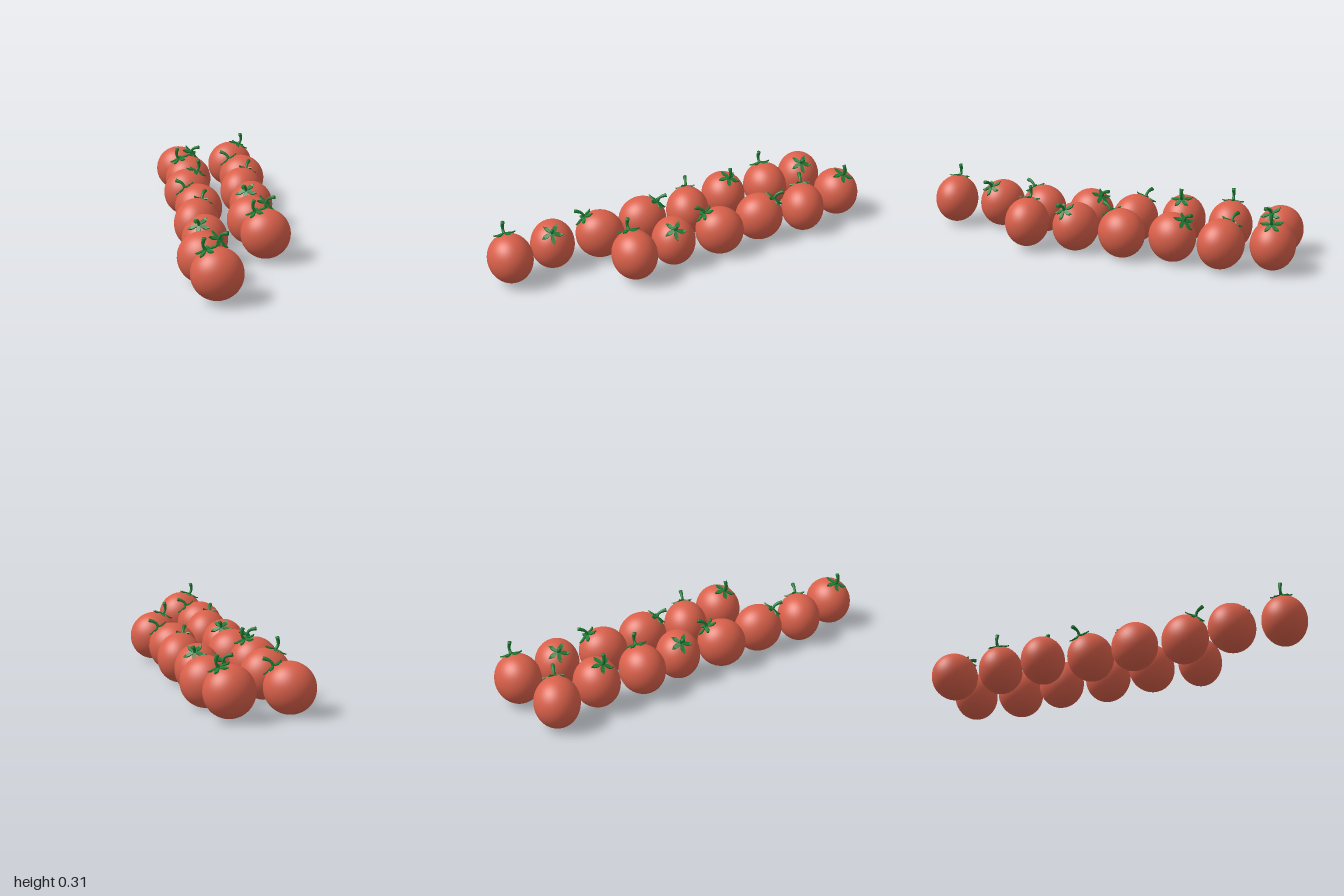
import * as THREE from 'three';

const red = new THREE.MeshStandardMaterial({ color: 0xd9604a });
red.name = 'tomato red';
const green = new THREE.MeshStandardMaterial({ color: 0x1e7a34 });
green.name = 'leaf green';

// Slightly narrow round fruit body
function bodyGeometry() {
  return new THREE.SphereGeometry(1, 40, 28).scale(0.122, 0.123, 0.11);
}

// Five pointed leaves, bent to lie over the top of the fruit
function calyxGeometry() {
  const shape = new THREE.Shape();
  const outline = [[0.011, -0.63], [0.029, -0.4], [0.042, -0.22], [0.057, 0.04], [0.042, 0.2], [0.029, 0.36]];
  for (let i = 0; i < 5; i++) {
    outline.forEach(([r, a], j) => {
      const t = a + i * Math.PI * 2 / 5 + 0.15;
      const x = r * Math.cos(t), y = r * Math.sin(t);
      if (i + j === 0) shape.moveTo(x, y); else shape.lineTo(x, y);
    });
  }
  shape.closePath();
  const geo = new THREE.ExtrudeGeometry(shape, { depth: 0.006, bevelEnabled: false });
  geo.rotateX(-Math.PI / 2);
  const p = geo.attributes.position;
  for (let i = 0; i < p.count; i++) {
    const r = Math.hypot(p.getX(i), p.getZ(i));
    // follow the fruit, with the tips curling up
    const drop = r < 0.042 ? r * r * 3.2 : 0.0056 - (r - 0.042) * 0.12;
    p.setY(i, p.getY(i) + 0.121 - drop);
  }
  geo.computeVertexNormals();
  return geo;
}

// Bent stalk, widening toward its cut end
function stemGeometry() {
  const path = new THREE.CatmullRomCurve3([
    [0, 0.118], [-0.006, 0.143], [0, 0.162], [0.014, 0.18],
  ].map(([x, y]) => new THREE.Vector3(x, y, 0)));
  const rows = 10, sides = 10, pos = [], index = [];
  for (let i = 0; i <= rows; i++) {
    const t = i / rows, c = path.getPointAt(t), d = path.getTangentAt(t);
    const r = 0.0065 + 0.003 * Math.abs(2 * t - 0.8);
    for (let j = 0; j < sides; j++) {
      const a = j / sides * Math.PI * 2, u = r * Math.cos(a);
      pos.push(c.x + d.y * u, c.y - d.x * u, r * Math.sin(a));
      if (i < rows) {
        const k = i * sides + j, n = i * sides + (j + 1) % sides;
        index.push(k, k + sides, n, n, k + sides, n + sides);
      }
    }
  }
  // cap on the cut end
  const end = path.getPointAt(1), last = rows * sides;
  pos.push(end.x, end.y, 0);
  for (let j = 0; j < sides; j++) index.push(last + sides, last + (j + 1) % sides, last + j);
  const geo = new THREE.BufferGeometry();
  geo.setAttribute('position', new THREE.Float32BufferAttribute(pos, 3));
  geo.setIndex(index);
  geo.computeVertexNormals();
  return geo;
}

export function createModel() {
  const model = new THREE.Group();
  model.name = 'tomatoRows';
  const parts = [
    ['body', bodyGeometry(), red],
    ['calyx', calyxGeometry(), green],
    ['stem', stemGeometry(), green],
  ];

  // Each fruit: x, z, leans far over (1) or slightly (0), quarter turns
  const fruits = [
    [-0.135, -0.872, 1, 0], [-0.11, -0.624, 0, 0], [-0.145, -0.375, 0, 2], [-0.117, -0.127, 1, 2],
    [-0.16, 0.122, 1, 1], [-0.153, 0.38, 1, 3], [-0.195, 0.629, 1, 0], [-0.164, 0.88, 0, 0],
    [0.16, -0.89, 0, 2], [0.188, -0.643, 1, 2], [0.147, -0.391, 1, 1],
    [0.156, -0.135, 1, 3], [0.115, 0.117, 1, 0], [0.145, 0.365, 0, 0],
  ];
  for (const [x, z, far, turns] of fruits) {
    const tomato = new THREE.Group();
    tomato.name = 'tomato';
    tomato.position.set(x, far ? 0.123 : 0.133, z);
    tomato.rotation.y = turns * Math.PI / 2 - (far ? 0.49 : 0);
    const tilt = new THREE.Group();
    tilt.name = 'tiltedFruit';
    tilt.rotation.z = far ? -0.68 : 0.4;
    for (const [name, geo, mat] of parts) {
      const mesh = new THREE.Mesh(geo, mat);
      mesh.name = name;
      tilt.add(mesh);
    }
    tomato.add(tilt);
    model.add(tomato);
  }
  return model;
}
